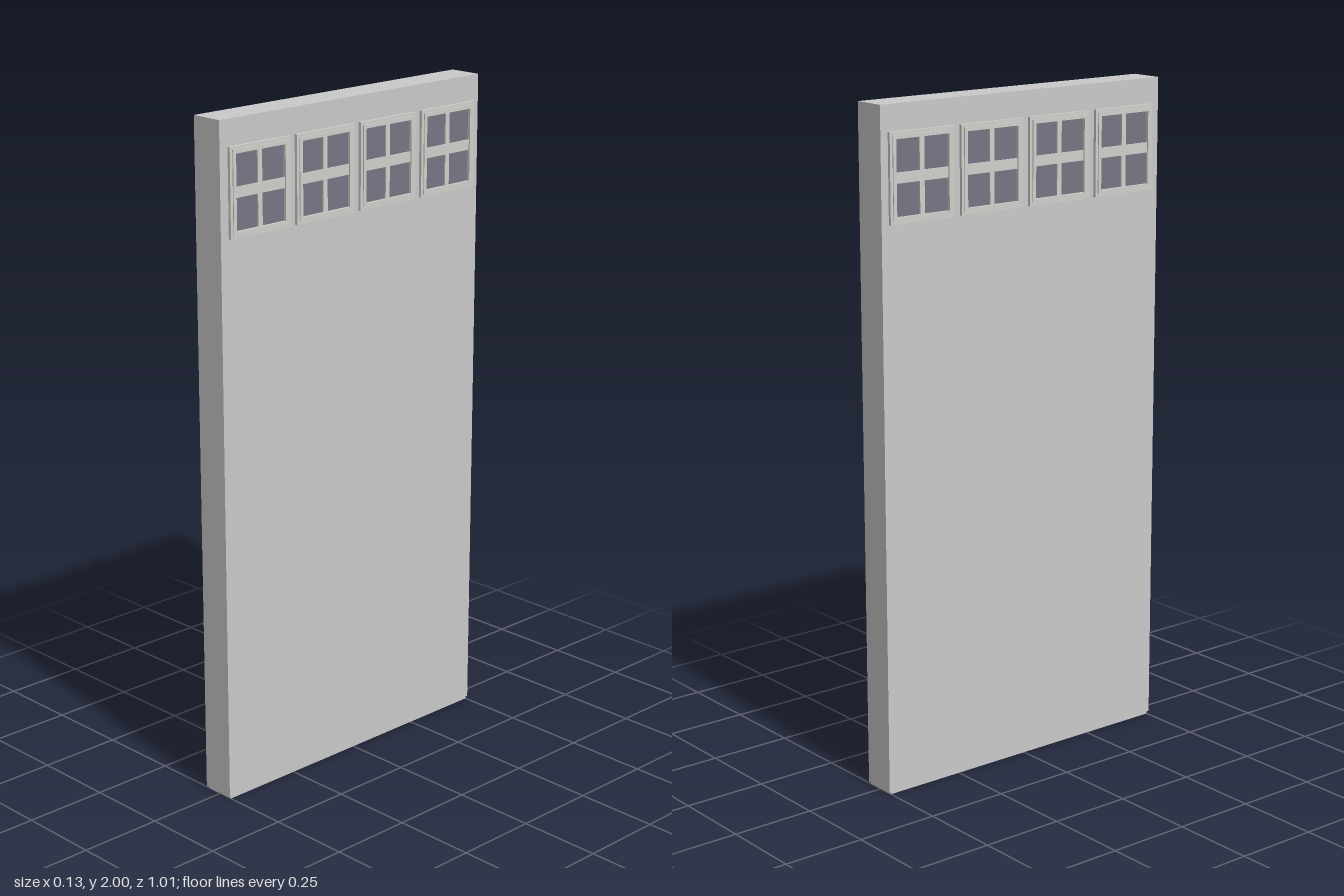
import * as THREE from 'three';

const panelMat = new THREE.MeshStandardMaterial({ color: 0xcacaca });
panelMat.name = 'panel grey';
const frameMat = new THREE.MeshStandardMaterial({ color: 0xd0d0cc });
frameMat.name = 'frame off-white';
const glassMat = new THREE.MeshStandardMaterial({ color: 0x777786 });
glassMat.name = 'glass blue grey';

function box(name, mat, sx, sy, sz, x, y, z) {
  const mesh = new THREE.Mesh(new THREE.BoxGeometry(sx, sy, sz), mat);
  mesh.name = name;
  mesh.position.set(x, y, z);
  return mesh;
}

// Rectangular ring in the XY plane, raised along +z
function ring(name, w, h, border, depth) {
  const shape = new THREE.Shape();
  shape.moveTo(-w / 2, -h / 2).lineTo(w / 2, -h / 2).lineTo(w / 2, h / 2).lineTo(-w / 2, h / 2).closePath();
  const a = w / 2 - border, b = h / 2 - border;
  const hole = new THREE.Path();
  hole.moveTo(-a, -b).lineTo(-a, b).lineTo(a, b).lineTo(a, -b).closePath();
  shape.holes.push(hole);
  const mesh = new THREE.Mesh(new THREE.ExtrudeGeometry(shape, { depth, bevelEnabled: false }), frameMat);
  mesh.name = name;
  return mesh;
}

// One four-pane window facing +z, resting on z = 0
function makeWindow() {
  const W = 0.221, H = 0.255;
  const g = new THREE.Group();
  g.name = 'window';
  g.add(ring('outerFrame', W, H, 0.011, 0.009));
  const inner = ring('innerFrame', W - 0.018, H - 0.018, 0.011, 0.012);
  g.add(inner);
  g.add(box('glass', glassMat, W - 0.03, H - 0.03, 0.003, 0, 0, 0.0015));
  g.add(box('verticalBar', frameMat, 0.016, H - 0.035, 0.007, 0, 0, 0.0035));
  g.add(box('crossBar', frameMat, W - 0.035, 0.03, 0.008, 0, 0, 0.004));
  return g;
}

export function createModel() {
  const model = new THREE.Group();
  model.name = 'garageDoor';

  // Door slab with a slightly inset bottom strip
  const cx = -0.002, depth = 0.102;
  model.add(box('doorPanel', panelMat, depth, 1.992, 1.012, cx, 1.004, 0));
  model.add(box('bottomStrip', panelMat, depth - 0.004, 0.008, 1.0, cx, 0.004, 0));

  // Row of windows on both faces
  for (const side of [-1, 1]) {
    for (let i = 0; i < 4; i++) {
      const win = makeWindow();
      win.rotation.y = side * Math.PI / 2;
      win.position.set(cx + side * depth / 2, 1.797, -0.002 + (i - 1.5) * 0.246);
      model.add(win);
    }
  }
  return model;
}
